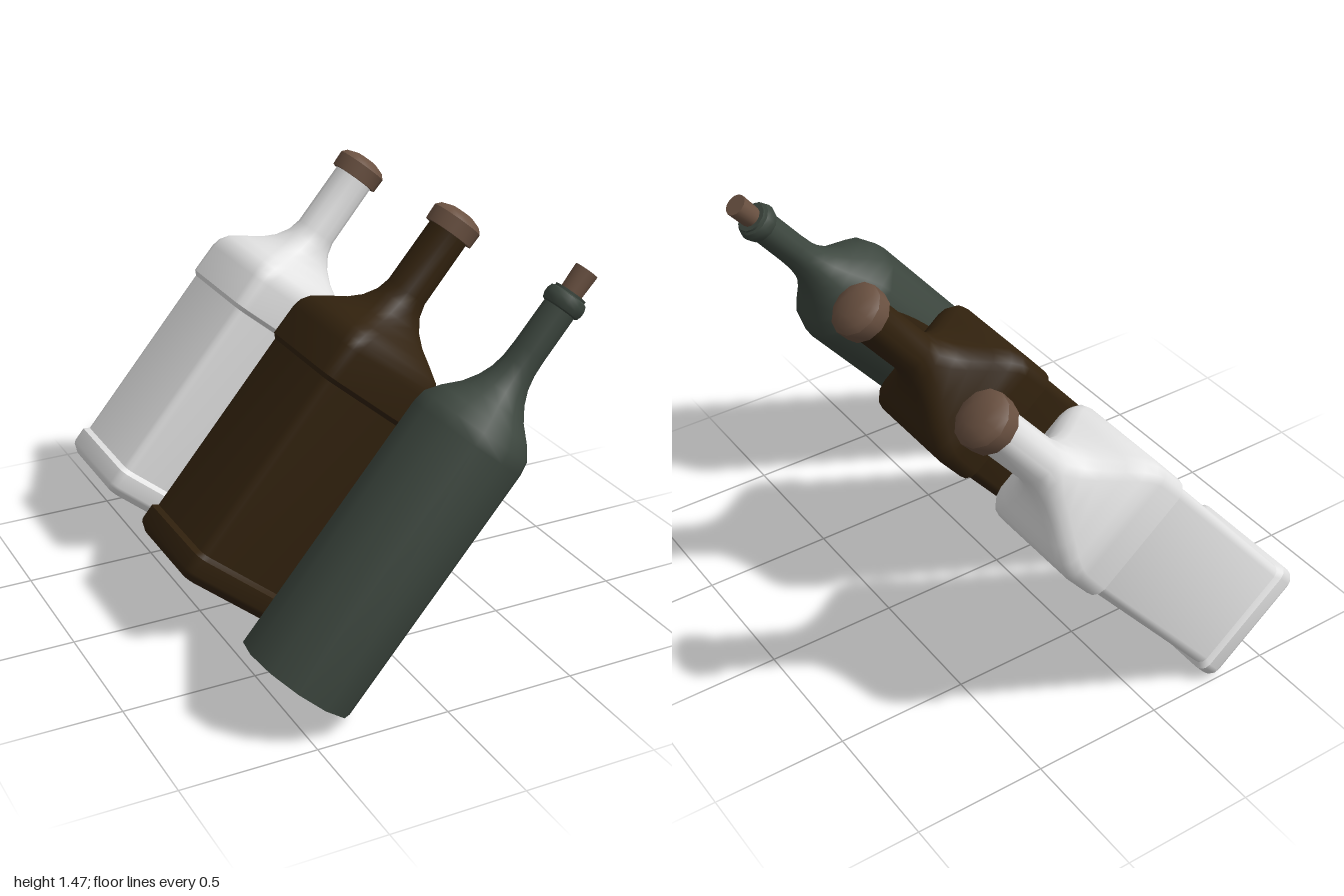
import * as THREE from 'three';
import { toCreasedNormals } from 'three/addons/utils/BufferGeometryUtils.js';

const material = (name, color) => {
  const m = new THREE.MeshStandardMaterial({ color });
  m.name = name;
  return m;
};

function addMesh(parent, name, geometry, mat) {
  const mesh = new THREE.Mesh(geometry, mat);
  mesh.name = name;
  parent.add(mesh);
  return mesh;
}

// Twelve-sided turned part; profile entries are [radius, height], bottom to top
function turned(profile) {
  const pts = profile.map(([r, y]) => new THREE.Vector2(r, y));
  return toCreasedNormals(new THREE.LatheGeometry(pts, 12), 0.7);
}

// Rounded-square cross-sections joined upward; rows are [height, half width, corner radius]
function squareLoft(rows) {
  const pos = [], index = [], steps = 3, n = 4 * (steps + 1);
  for (const [y, h, r] of rows) {
    for (let c = 0; c < 4; c++) {
      const mid = (c + 0.5) * Math.PI / 2;
      const cx = Math.sign(Math.cos(mid)) * (h - r);
      const cz = Math.sign(Math.sin(mid)) * (h - r);
      for (let s = 0; s <= steps; s++) {
        const a = (c + s / steps) * Math.PI / 2;
        pos.push(cx + r * Math.cos(a), y, cz + r * Math.sin(a));
      }
    }
  }
  for (let i = 0; i < rows.length - 1; i++) {
    for (let j = 0; j < n; j++) {
      const a = i * n + j, b = i * n + (j + 1) % n;
      index.push(a, a + n, b, b, a + n, b + n);
    }
  }
  const g = new THREE.BufferGeometry();
  g.setAttribute('position', new THREE.Float32BufferAttribute(pos, 3));
  g.setIndex(index);
  return toCreasedNormals(g, 0.7);
}

// Long oval patch folded over the two rear facets of the round bottle
function ovalPatch(radius, bottom, top) {
  const g = new THREE.PlaneGeometry(2, 2, 2, 24).rotateY(Math.PI);
  const p = g.attributes.position;
  for (let i = 0; i < p.count; i++) {
    const v = Math.sin(p.getY(i) * Math.PI / 2);
    const x = p.getX(i) * 0.105 * Math.pow(Math.max(0, 1 - v * v), 0.45);
    const y = bottom + (top - bottom) * (v + 1) / 2;
    p.setXYZ(i, x, y, -(radius + 0.003 - Math.abs(x) * Math.tan(Math.PI / 12)));
  }
  g.computeVertexNormals();
  return g;
}

// Every bottle leans the same way about its base
function leaningBottle(name, z) {
  const g = new THREE.Group();
  g.name = name;
  g.position.set(-0.47, 0.145, z);
  g.rotation.z = -THREE.MathUtils.degToRad(40);
  return g;
}

export function createModel() {
  const green = material('dark green glass', 0x3c463e);
  const brown = material('dark brown glass', 0x32220e);
  const white = material('clear white glass', 0xe4e4e4);
  const cork = material('cork brown', 0x6a5141);
  const model = new THREE.Group();
  model.name = 'bottles';

  // Round bottle with lip and cork
  const round = leaningBottle('roundBottle', 0.778);
  addMesh(round, 'roundGlass', turned([
    [0, 0], [0.222, 0], [0.222, 1.0], [0.214, 1.05], [0.177, 1.1], [0.128, 1.15],
    [0.095, 1.2], [0.074, 1.25], [0.064, 1.3], [0.061, 1.36], [0.06, 1.6], [0.04, 1.6],
  ]), green);
  addMesh(round, 'lip', turned([
    [0.058, 1.53], [0.07, 1.535], [0.076, 1.552], [0.076, 1.57], [0.07, 1.587], [0.058, 1.592],
  ]), green);
  addMesh(round, 'cork', turned([[0.04, 1.57], [0.044, 1.69], [0, 1.69]]), cork);
  addMesh(round, 'ovalPatch', ovalPatch(0.222, 0.03, 1.015), brown);
  model.add(round);

  // Square bottles: stepped base, body, shoulder, round neck, domed cap
  const glass = squareLoft([
    [0, 0.001, 0.0009], [0, 0.215, 0.035], [0.022, 0.238, 0.04], [0.035, 0.242, 0.04],
    [0.095, 0.242, 0.04], [0.112, 0.226, 0.035], [0.875, 0.226, 0.035], [0.892, 0.242, 0.05],
    [1.015, 0.242, 0.055], [1.05, 0.238, 0.06], [1.085, 0.222, 0.065], [1.12, 0.186, 0.068],
    [1.16, 0.142, 0.07], [1.2, 0.112, 0.073], [1.25, 0.09, 0.076], [1.3, 0.081, 0.077],
    [1.59, 0.08, 0.077],
  ]);
  const cap = turned([
    [0, 1.565], [0.1, 1.565], [0.102, 1.625], [0.085, 1.644], [0.045, 1.658], [0, 1.66],
  ]);
  for (const [label, z, mat] of [['brown', 0.001, brown], ['white', -0.757, white]]) {
    const bottle = leaningBottle(label + 'SquareBottle', z);
    addMesh(bottle, label + 'Glass', glass, mat);
    addMesh(bottle, label + 'BottleCap', cap, cork);
    model.add(bottle);
  }
  return model;
}
